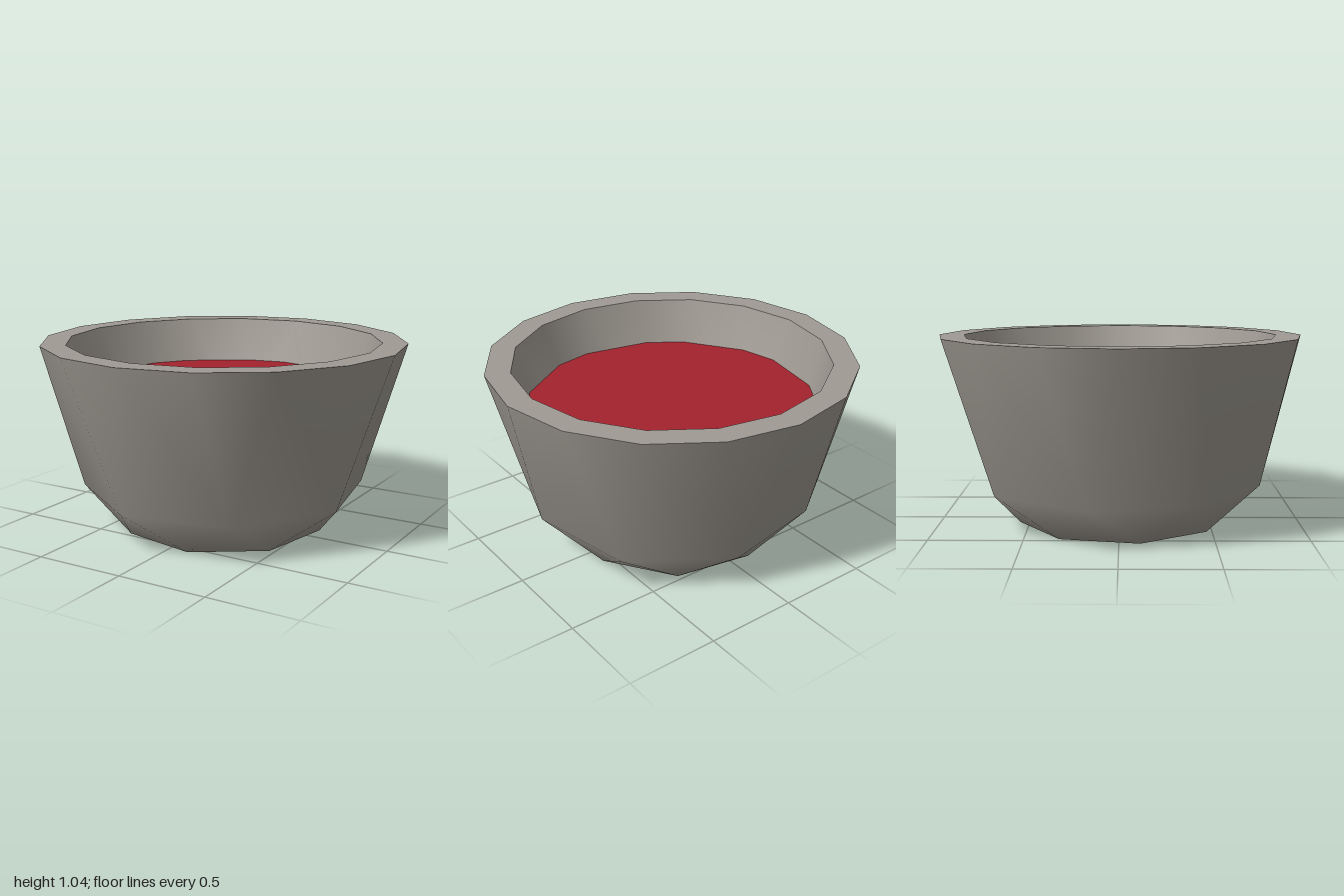
import * as THREE from 'three';

const STEP = Math.PI / 8;

// Ring of n points; phase counts in 22.5 degree steps from +z towards +x
function ring(n, radius, y, phase) {
  return Array.from({ length: n }, (_, i) => {
    const a = (phase * STEP) + (i * Math.PI * 2) / n;
    return [radius * Math.sin(a), y, radius * Math.cos(a)];
  });
}

// Faceted cup: 16-sided rim, then two staggered 8-sided rings and a closed base
function cupSurface(rim, mid, base, inward) {
  const pts = [...rim, ...mid, ...base];
  const R = (i) => (i + 16) % 16;
  const M = (i) => 16 + ((i + 8) % 8);
  const B = (i) => 24 + ((i + 8) % 8);
  const tris = [];
  for (let k = 0; k < 8; k++) {
    tris.push(
      [R(2 * k), M(k), R(2 * k + 1)],
      [R(2 * k + 1), M(k), R(2 * k + 2)],
      [R(2 * k + 2), M(k), M(k + 1)],
      [M(k - 1), B(k), M(k)],
      [M(k), B(k), B(k + 1)]
    );
    if (k > 0 && k < 7) tris.push([B(0), B(k + 1), B(k)]);
  }
  if (inward) tris.forEach((t) => t.reverse());
  const geo = new THREE.BufferGeometry();
  geo.setAttribute('position', new THREE.Float32BufferAttribute(pts.flat(), 3));
  geo.setIndex(tris.flat());
  geo.computeVertexNormals();
  return geo;
}

export function createModel() {
  const stone = new THREE.MeshStandardMaterial({ color: 0x9f9a92 });
  stone.name = 'warm grey clay';
  const red = new THREE.MeshStandardMaterial({ color: 0xa2222d });
  red.name = 'deep red';

  const model = new THREE.Group();
  model.name = 'bowl';
  const add = (name, geo, mat) => {
    const mesh = new THREE.Mesh(geo, mat);
    mesh.name = name;
    model.add(mesh);
    return mesh;
  };

  const top = 1.04;
  const innerRadius = 0.863;

  // Outer wall with foot
  add('outerWall', cupSurface(
    ring(16, 1, top, 0), ring(8, 0.787, 0.22, 1.5), ring(8, 0.565, 0, 0.5), false), stone);

  // Inner wall with floor
  add('innerWall', cupSurface(
    ring(16, innerRadius, top, 0), ring(8, 0.65, 0.28, 0.5), ring(8, 0.46, 0.1, -0.5), true), stone);

  // Flat rim between the two walls
  const rim = add('rim', new THREE.RingGeometry(innerRadius, 1, 16), stone);
  rim.rotation.x = -Math.PI / 2;
  rim.position.y = top;

  // Liquid surface, its edge buried in the wall
  const liquid = add('liquid', new THREE.CircleGeometry(0.85, 16), red);
  liquid.rotation.x = -Math.PI / 2;
  liquid.position.y = 0.79;

  return model;
}
